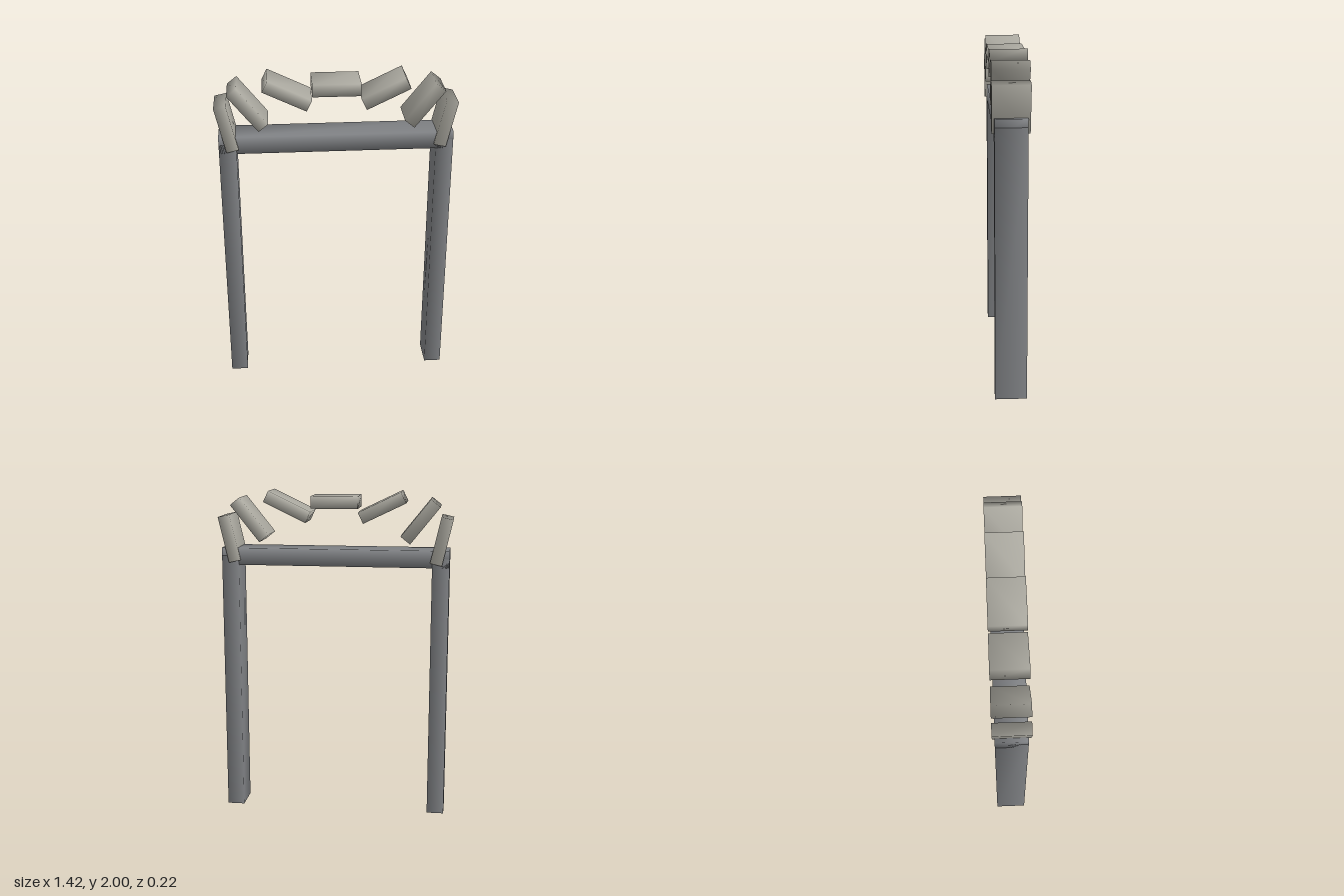
import * as THREE from 'three';
import { mergeVertices } from 'three/addons/utils/BufferGeometryUtils.js';

// Box whose corners share vertices, so its normals are smoothed across the edges
function softBox(w, h, d) {
  const g = new THREE.BoxGeometry(w, h, d);
  g.deleteAttribute('normal');
  g.deleteAttribute('uv');
  const merged = mergeVertices(g);
  merged.computeVertexNormals();
  return merged;
}

export function createModel() {
  const model = new THREE.Group();
  model.name = 'archway';
  const frameMaterial = new THREE.MeshStandardMaterial({ color: 0x808285 });
  const stoneMaterial = new THREE.MeshStandardMaterial({ color: 0xaaa89f });

  const add = (name, geometry, material, x, y, tilt = 0) => {
    const mesh = new THREE.Mesh(geometry, material);
    mesh.name = name;
    mesh.position.set(x, y, 0);
    mesh.rotation.z = tilt;
    model.add(mesh);
  };

  // Two posts and the lintel resting across them
  const postHeight = 1.61, thickness = 0.104, depth = 0.186, halfWidth = 0.692;
  const post = softBox(thickness, postHeight, depth);
  const postX = halfWidth - thickness / 2;
  add('leftPost', post, frameMaterial, postX, postHeight / 2);
  add('rightPost', post, frameMaterial, -postX, postHeight / 2);
  add('lintel', softBox(halfWidth * 2, thickness, depth), frameMaterial, 0, 1.606);

  // Seven separate stones fanned along a flattened arch
  const stone = softBox(0.283, 0.073, 0.215);
  const radiusX = 0.659, radiusY = 0.287, archBase = 1.65;
  for (let i = -3; i <= 3; i++) {
    const a = (i * Math.PI) / 7;
    add(`archStone${i + 4}`, stone, stoneMaterial,
      radiusX * Math.sin(a), archBase + radiusY * Math.cos(a), a);
  }
  return model;
}
